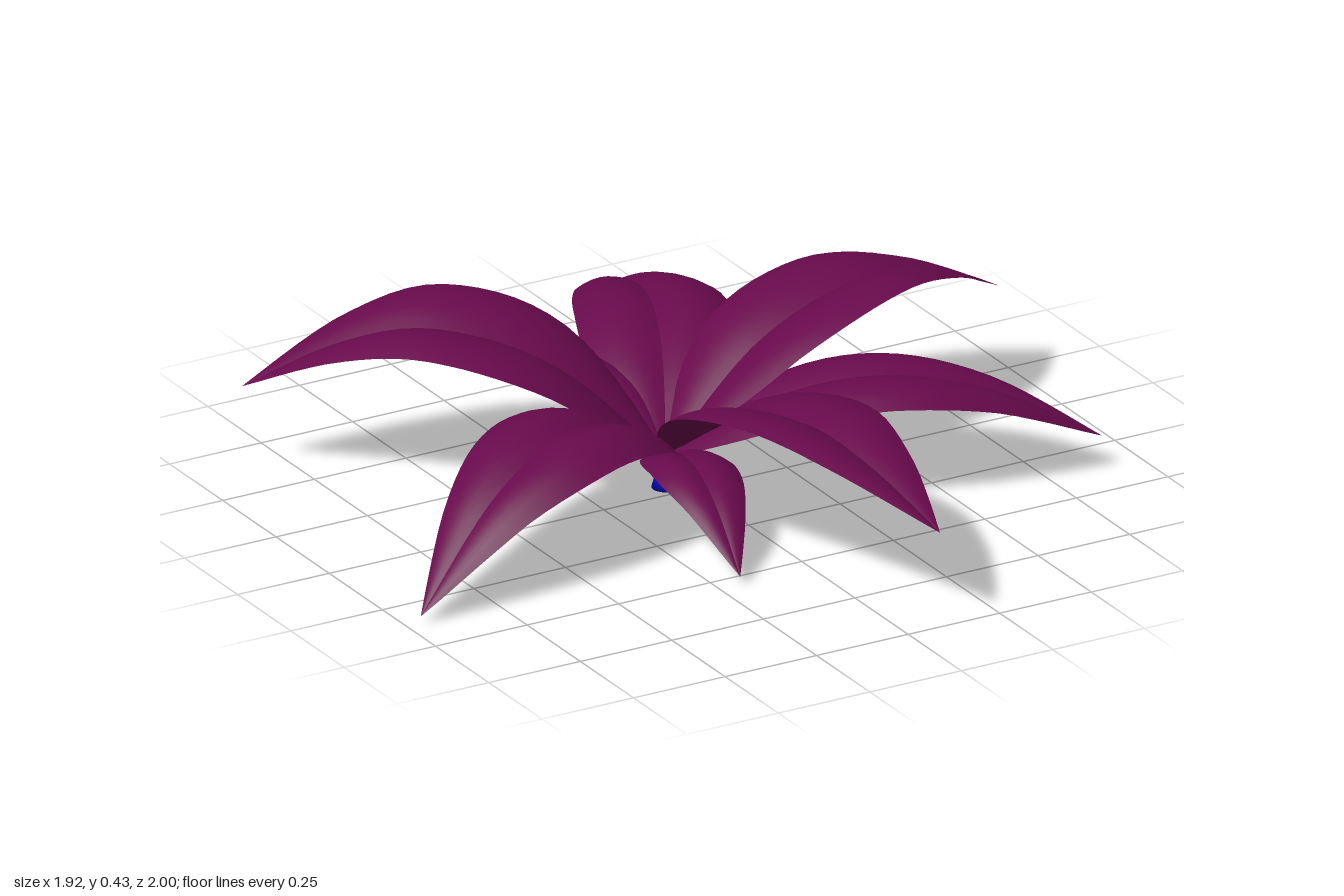
import * as THREE from 'three';
import { mergeGeometries } from 'three/addons/utils/BufferGeometryUtils.js';

const CENTER = { x: -0.055, z: -0.045 };
const BASE_Y = 0.08;

const curve = (pts) => new THREE.SplineCurve(pts.map(([a, b]) => new THREE.Vector2(a, b)));

// Half-width along a petal, as a fraction of its widest point
const outline = [
  [0, 0.06], [0.08, 0.42], [0.18, 0.77], [0.3, 0.96], [0.43, 1],
  [0.6, 0.89], [0.78, 0.57], [0.91, 0.25], [1, 0],
];

// Interpolates a smooth curve of (t, value) points into a lookup function
function profile(points) {
  const samples = curve(points).getPoints(120);
  return (t) => {
    let i = 1;
    while (i < samples.length - 1 && samples[i].x < t) i++;
    const a = samples[i - 1], b = samples[i];
    return THREE.MathUtils.lerp(a.y, b.y, THREE.MathUtils.clamp((t - a.x) / (b.x - a.x), 0, 1));
  };
}
const widthAt = profile(outline);

// Arched petal along +z: two bulging halves with drooping edges meet at a creased midrib
function petalGeometry({ length, halfWidth, peak, peakAt, tipY, bend = 0, bulge, droop, roll }) {
  const heightAt = profile([
    [0, BASE_Y],
    [peakAt * 0.48, BASE_Y + 0.72 * (peak - BASE_Y)],
    [peakAt, peak],
    [(1 + peakAt) / 2, peak - 0.26 * (peak - tipY)],
    [1, tipY],
  ]);
  const halves = [-1, 1].map((side) => {
    const geo = new THREE.PlaneGeometry(1, 1, 6, 24);
    const pos = geo.attributes.position;
    for (let i = 0; i < pos.count; i++) {
      const s = pos.getX(i) + side * 0.5;
      const t = pos.getY(i) + 0.5;
      const w = widthAt(t) * halfWidth;
      const lift = w * (bulge * Math.abs(s) - droop * s * s + roll * s);
      pos.setXYZ(i, -s * w - bend * Math.sin(Math.PI * t), heightAt(t) + lift, t * length);
    }
    geo.computeVertexNormals();
    return geo;
  });
  return mergeGeometries(halves);
}

export function createModel() {
  const group = new THREE.Group();
  const petalMaterial = new THREE.MeshStandardMaterial({ color: 0x680a4c, side: THREE.DoubleSide });
  const stemMaterial = new THREE.MeshStandardMaterial({ color: 0x0505c0, side: THREE.DoubleSide });

  // Three rings of petals, each given by its tip position
  const rings = [
    { name: 'upperPetal', shape: { halfWidth: 0.2, peakAt: 0.54, bulge: 0.52, droop: 0.44, roll: 0.1 }, petals: [
      { tip: [0.09, 0.24, 0.995], peak: 0.362, bend: 0.025 },
      { tip: [0.96, 0.23, -0.22], peak: 0.375, bend: 0.01 },
      { tip: [-0.875, 0.22, -0.625], peak: 0.385 },
    ] },
    { name: 'lowerPetal', shape: { halfWidth: 0.187, peakAt: 0.48, bulge: 0.48, droop: 0.6, roll: 0.04 }, petals: [
      { tip: [0.29, 0.06, -1.0], peak: 0.265, bend: 0.055 },
      { tip: [0.89, 0.085, 0.38], peak: 0.275, bend: 0.025 },
      { tip: [-0.965, 0.02, 0.37], peak: 0.305, bend: -0.03 },
    ] },
    { name: 'smallPetal', shape: { halfWidth: 0.11, peakAt: 0.5, bulge: 0.5, droop: 0.65, roll: 0.08 }, petals: [
      { tip: [-0.335, 0.16, -0.62], peak: 0.225, bend: 0.03 },
      { tip: [0.45, 0.04, -0.45], peak: 0.18, bend: 0.03 },
      { tip: [-0.2, 0.025, 0.555], peak: 0.175, bend: 0.015 },
    ] },
  ];
  for (const { name, shape, petals } of rings) {
    petals.forEach(({ tip, peak, bend }, i) => {
      const dx = tip[0] - CENTER.x, dz = tip[2] - CENTER.z;
      const geo = petalGeometry({ ...shape, length: Math.hypot(dx, dz), peak, tipY: tip[1], bend });
      const petal = new THREE.Mesh(geo, petalMaterial);
      petal.name = `${name}${i + 1}`;
      petal.position.set(CENTER.x, 0, CENTER.z);
      petal.rotation.y = Math.atan2(dx, dz);
      group.add(petal);
    });
  }

  // Short stem flaring at the foot
  const stemProfile = [[0, 0], [0.034, 0], [0.029, 0.02], [0.022, 0.055], [0.02, 0.08], [0.01, 0.095], [0, 0.1]];
  const stem = new THREE.Mesh(
    new THREE.LatheGeometry(stemProfile.map(([r, y]) => new THREE.Vector2(r, y)), 16), stemMaterial);
  stem.name = 'stem';
  stem.position.set(CENTER.x, 0, CENTER.z);
  group.add(stem);

  return group;
}
